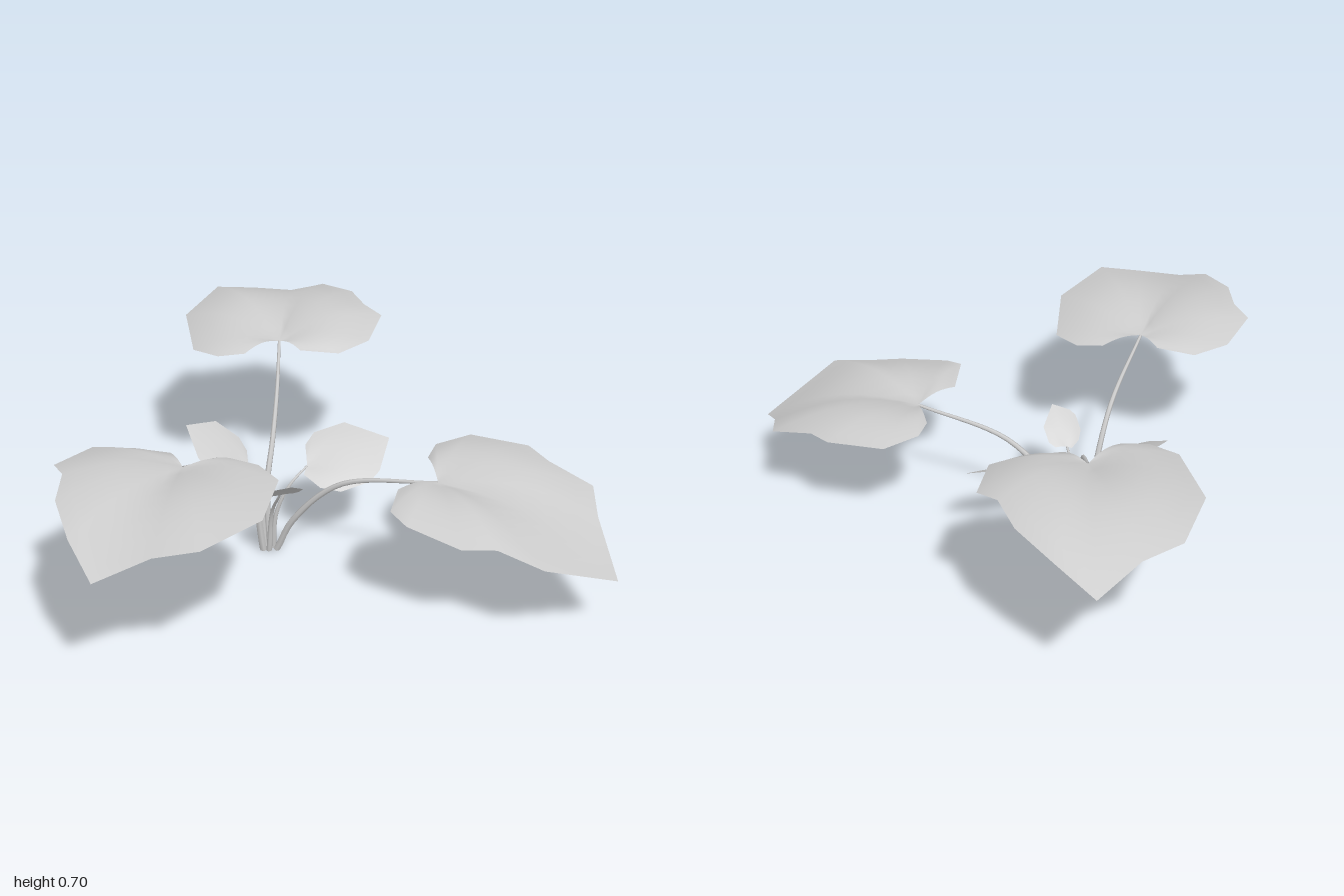
import * as THREE from 'three';

const material = new THREE.MeshStandardMaterial({ color: 0xcccccc, side: THREE.DoubleSide });
const RINGS = 8;

// Blade rims from notch to notch as [forward, sideways, rise] from the stem's end
const broadRim = [
  [-0.12, -0.12, 0], [-0.13, -0.22, -0.01], [-0.07, -0.32, -0.015], [0.21, -0.385, 0], [0.47, -0.29, 0.01],
  [0.53, -0.15, -0.015], [0.65, 0, -0.075], [0.555, 0.13, 0], [0.41, 0.255, 0.035], [0.265, 0.31, 0.045],
  [0.2, 0.38, 0.03], [0.01, 0.34, 0.01], [-0.07, 0.23, -0.01], [-0.075, 0.085, 0],
];
const droopingRim = [
  [0.01, -0.155, 0.015], [0.065, -0.235, 0.02], [0.21, -0.275, 0.02], [0.39, -0.155, 0.015], [0.43, -0.055, 0],
  [0.55, 0.075, -0.045], [0.515, 0.215, -0.085], [0.505, 0.445, -0.205], [0.2, 0.53, -0.065], [0.07, 0.425, -0.03],
  [-0.045, 0.395, -0.03], [-0.195, 0.265, 0.005], [-0.23, 0.19, 0.025], [-0.16, 0.045, 0.02],
];
const smallRim = [
  [0.03, -0.255, 0], [0.16, -0.37, 0], [0.53, -0.37, 0], [0.67, -0.26, 0], [1, 0, 0],
  [0.8, 0.35, 0], [0.66, 0.44, 0], [0.31, 0.44, 0], [0.09, 0.31, 0], [-0.06, 0.09, 0],
];

// Tube that narrows towards its end
function stemGeometry(path, radius) {
  const curve = new THREE.CatmullRomCurve3(path);
  const segments = 20, sides = 6;
  const geometry = new THREE.TubeGeometry(curve, segments, radius, sides);
  const pos = geometry.attributes.position;
  const v = new THREE.Vector3();
  for (let i = 0; i < pos.count; i++) {
    const t = Math.floor(i / (sides + 1)) / segments;
    const centre = curve.getPointAt(t);
    v.fromBufferAttribute(pos, i).sub(centre).multiplyScalar(1 - 0.6 * t).add(centre);
    pos.setXYZ(i, v.x, Math.max(0, v.y), v.z);
  }
  return geometry;
}

// Arched blade fanning out from the stem's end to the rim, open at the notch
function bladeGeometry(joint, rim, lift) {
  const positions = [...joint.toArray()];
  const index = [];
  const at = (ring, i) => 1 + (ring - 1) * rim.length + i;
  for (let r = 1; r <= RINGS; r++) {
    const t = r / RINGS;
    for (const p of rim) {
      const q = joint.clone().lerp(p, t);
      q.y += lift * joint.distanceTo(p) * Math.sin(Math.PI * t);
      positions.push(q.x, q.y, q.z);
    }
    for (let i = 0; i < rim.length - 1; i++) {
      if (r === 1) index.push(0, at(1, i + 1), at(1, i));
      else {
        const a = at(r - 1, i), b = at(r - 1, i + 1), c = at(r, i), d = at(r, i + 1);
        index.push(a, b, c, b, d, c);
      }
    }
  }
  const geometry = new THREE.BufferGeometry();
  geometry.setAttribute('position', new THREE.Float32BufferAttribute(positions, 3));
  geometry.setIndex(index);
  geometry.computeVertexNormals();
  return geometry;
}

// Stem plus blade; forward and side are the axes in which the rim is laid out
function makeLeaf(name, { stem, radius, rim, forward, side, lift }) {
  const path = stem.map((p) => new THREE.Vector3(...p));
  const joint = path[path.length - 1];
  const f = new THREE.Vector3(...forward);
  const s = new THREE.Vector3(...side);
  const edge = rim.map(([u, v, rise]) => {
    const p = joint.clone().addScaledVector(f, u).addScaledVector(s, v);
    p.y += rise;
    return p;
  });
  const stalk = new THREE.Mesh(stemGeometry(path, radius), material);
  stalk.name = 'stem';
  const blade = new THREE.Mesh(bladeGeometry(joint, edge, lift), material);
  blade.name = 'blade';
  const leaf = new THREE.Group();
  leaf.name = name;
  return leaf.add(stalk, blade);
}

export function createModel() {
  const plant = new THREE.Group();
  plant.name = 'plant';

  // Three large leaves on long arching stems
  plant.add(makeLeaf('backLeaf', {
    stem: [[-0.12, 0, 0.04], [-0.12, 0.24, 0.01], [-0.08, 0.385, -0.07], [-0.035, 0.52, -0.19], [0.02, 0.63, -0.385]],
    radius: 0.014, rim: broadRim, forward: [0.309, 0, -0.951], side: [0.951, 0, 0.309], lift: 0.11,
  }));
  plant.add(makeLeaf('frontRightLeaf', {
    stem: [[-0.15, 0, 0.07], [-0.19, 0.25, 0.09], [-0.29, 0.46, 0.19], [-0.5, 0.59, 0.42]],
    radius: 0.014, rim: broadRim, forward: [-0.595, 0, 0.804], side: [-0.804, 0, -0.595], lift: 0.08,
  }));
  plant.add(makeLeaf('frontLeftLeaf', {
    stem: [[-0.1, 0, 0.08], [-0.05, 0.15, 0.13], [0.1, 0.345, 0.245], [0.39, 0.435, 0.465]],
    radius: 0.014, rim: droopingRim, forward: [1, 0, 0], side: [0, 0, 1], lift: 0.1,
  }));

  // Three young leaves near the centre
  plant.add(makeLeaf('smallLeftLeaf', {
    stem: [[-0.11, 0, 0.06], [-0.1, 0.15, 0.07], [-0.05, 0.27, 0.08], [0.02, 0.33, 0.06]],
    radius: 0.011, rim: smallRim, forward: [0.32, 0.06, -0.03], side: [0, -0.184, 0.27], lift: 0.04,
  }));
  plant.add(makeLeaf('smallRightLeaf', {
    stem: [[-0.14, 0, 0.05], [-0.15, 0.2, 0.03], [-0.19, 0.32, 0.015]],
    radius: 0.011, rim: smallRim, forward: [-0.205, 0.14, -0.13], side: [-0.06, -0.13, 0.27], lift: 0.04,
  }));
  plant.add(makeLeaf('smallFrontLeaf', {
    stem: [[-0.13, 0, 0.08], [-0.125, 0.18, 0.11], [-0.115, 0.3, 0.195]],
    radius: 0.011, rim: smallRim, forward: [0.01, 0.11, 0.14], side: [-0.17, 0, 0], lift: 0.04,
  }));
  return plant;
}
